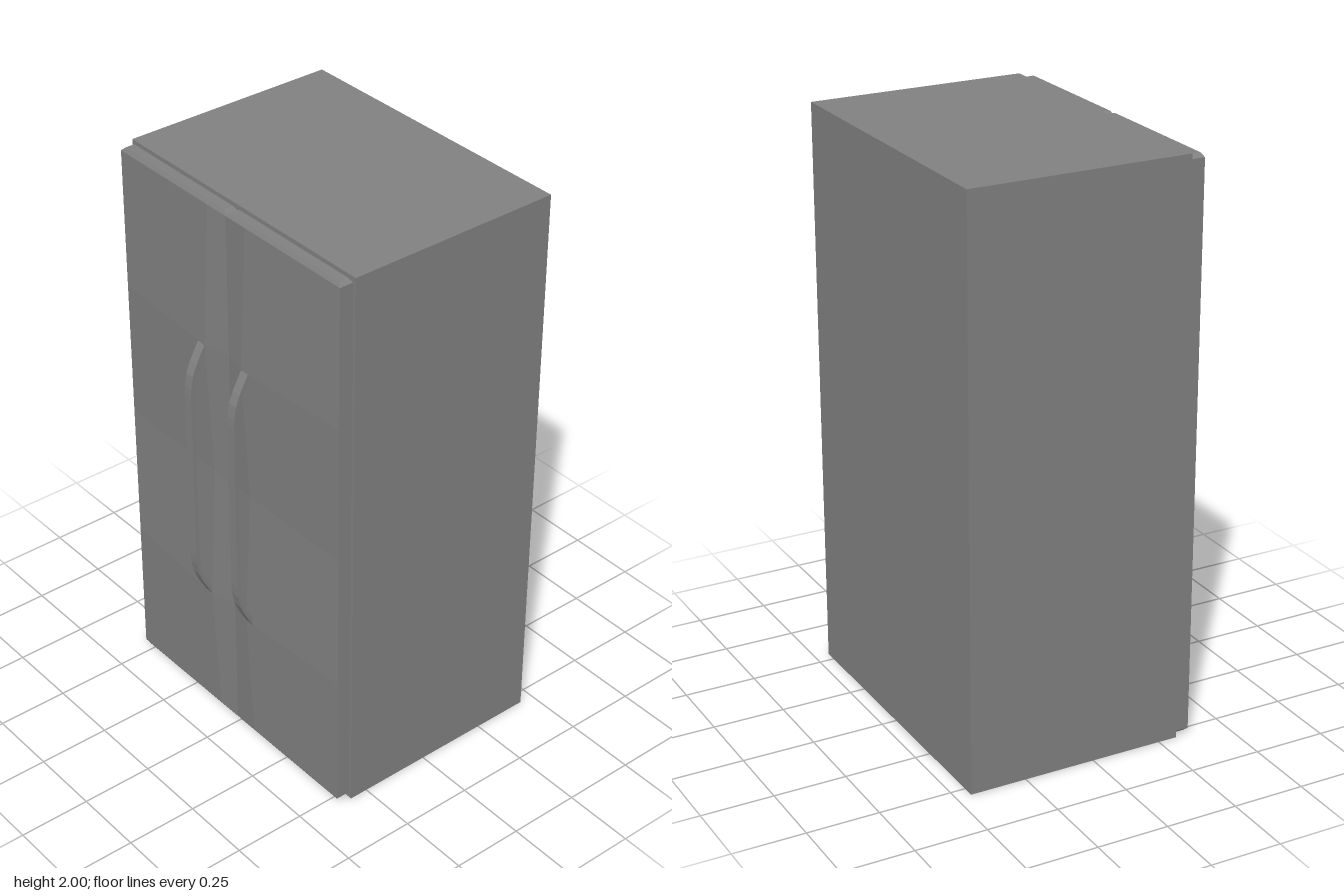
import * as THREE from 'three';

const material = new THREE.MeshStandardMaterial({ color: 0x808080 });
const OFFSET = -0.003;                           // the door pair hangs slightly off centre
const OUTER = 0.533, RIDGE = 0.092, HANDLE = 0.1095; // distances from the seam between the doors
const BACK = 0.316, FRONT = 0.365, BULGE = 0.025;

function part(geometry, name) {
  const mesh = new THREE.Mesh(geometry, material);
  mesh.name = name;
  return mesh;
}

// Five-point outline of one door at a given height, counter-clockwise from above.
function doorLoop(side, [y, inset, bulge]) {
  const dx = inset * 0.0145, dz = inset * 0.008;
  const loop = [
    [dx, BACK + dz],
    [dx, FRONT - dz],
    [RIDGE, FRONT - dz + bulge * BULGE],
    [OUTER - dx, FRONT - dz],
    [OUTER - dx, BACK + dz],
  ].map(([x, z]) => new THREE.Vector3(side * x, y, z));
  return side > 0 ? loop : loop.reverse();
}

// Pair of door slabs meeting at the seam: stacked outlines, chamfered at top and bottom,
// the front folded outwards at the handle mounts. Each panel has one flat-shaded normal.
function doorsGeometry() {
  // [height, chamfer inset, share of bulge]
  const levels = [
    [0.007, 1, 0], [0.02, 0, 0], [0.51, 0, 1], [1, 0, 0],
    [1.49, 0, 1], [1.98, 0, 0], [1.993, 1, 0],
  ];
  const positions = [], normals = [];
  const addFace = (corners, normal) => {
    for (let i = 1; i < corners.length - 1; i++) {
      for (const p of [corners[0], corners[i], corners[i + 1]]) {
        positions.push(...p.toArray());
        normals.push(...normal.toArray());
      }
    }
  };
  for (const side of [-1, 1]) {
    const loops = levels.map((level) => doorLoop(side, level));
    for (let l = 0; l < loops.length - 1; l++) {
      for (let i = 0; i < 5; i++) {
        const j = (i + 1) % 5;
        const quad = [loops[l][i], loops[l][j], loops[l + 1][j], loops[l + 1][i]];
        if (quad.every((p) => p.x === 0)) continue; // closed seam between the doors
        const [a, b, c, d] = quad;
        const normal = c.clone().sub(a).cross(d.clone().sub(b)).normalize();
        addFace(quad, normal);
      }
    }
    addFace(loops[loops.length - 1], new THREE.Vector3(0, 1, 0));
    addFace([...loops[0]].reverse(), new THREE.Vector3(0, -1, 0));
  }
  const geometry = new THREE.BufferGeometry();
  geometry.setAttribute('position', new THREE.Float32BufferAttribute(positions, 3));
  geometry.setAttribute('normal', new THREE.Float32BufferAttribute(normals, 3));
  return geometry;
}

// Flat bar handle: a bowed side profile (z, y) extruded across its width.
function handleGeometry(width) {
  const outer = [[0.389, 0.51], [0.423, 0.572], [0.438, 0.61], [0.446, 0.655], [0.448, 0.69]];
  const inner = [[0.379, 0.52], [0.412, 0.579], [0.426, 0.615], [0.434, 0.658], [0.436, 0.69]];
  const flip = (points) => points.map(([z, y]) => [z, 2 - y]).reverse();
  const outline = [...outer, ...flip(outer), ...[...inner, ...flip(inner)].reverse()];
  const shape = new THREE.Shape(outline.map(([z, y]) => new THREE.Vector2(z, y)));
  return new THREE.ExtrudeGeometry(shape, { depth: width, bevelEnabled: false })
    .translate(0, 0, -width / 2)
    .rotateY(-Math.PI / 2);
}

export function createModel() {
  const model = new THREE.Group();
  model.name = 'refrigerator';

  // Cabinet
  const cabinet = part(new THREE.BoxGeometry(1.084, 2, 0.764), 'cabinet');
  cabinet.position.set(0, 1, -0.066);
  model.add(cabinet);

  // Doors
  const doors = part(doorsGeometry(), 'doors');
  doors.position.x = OFFSET;
  model.add(doors);

  // Handles
  for (const side of [-1, 1]) {
    const handle = part(handleGeometry(0.034), side > 0 ? 'leftHandle' : 'rightHandle');
    handle.position.x = OFFSET + side * HANDLE;
    model.add(handle);
  }
  return model;
}
